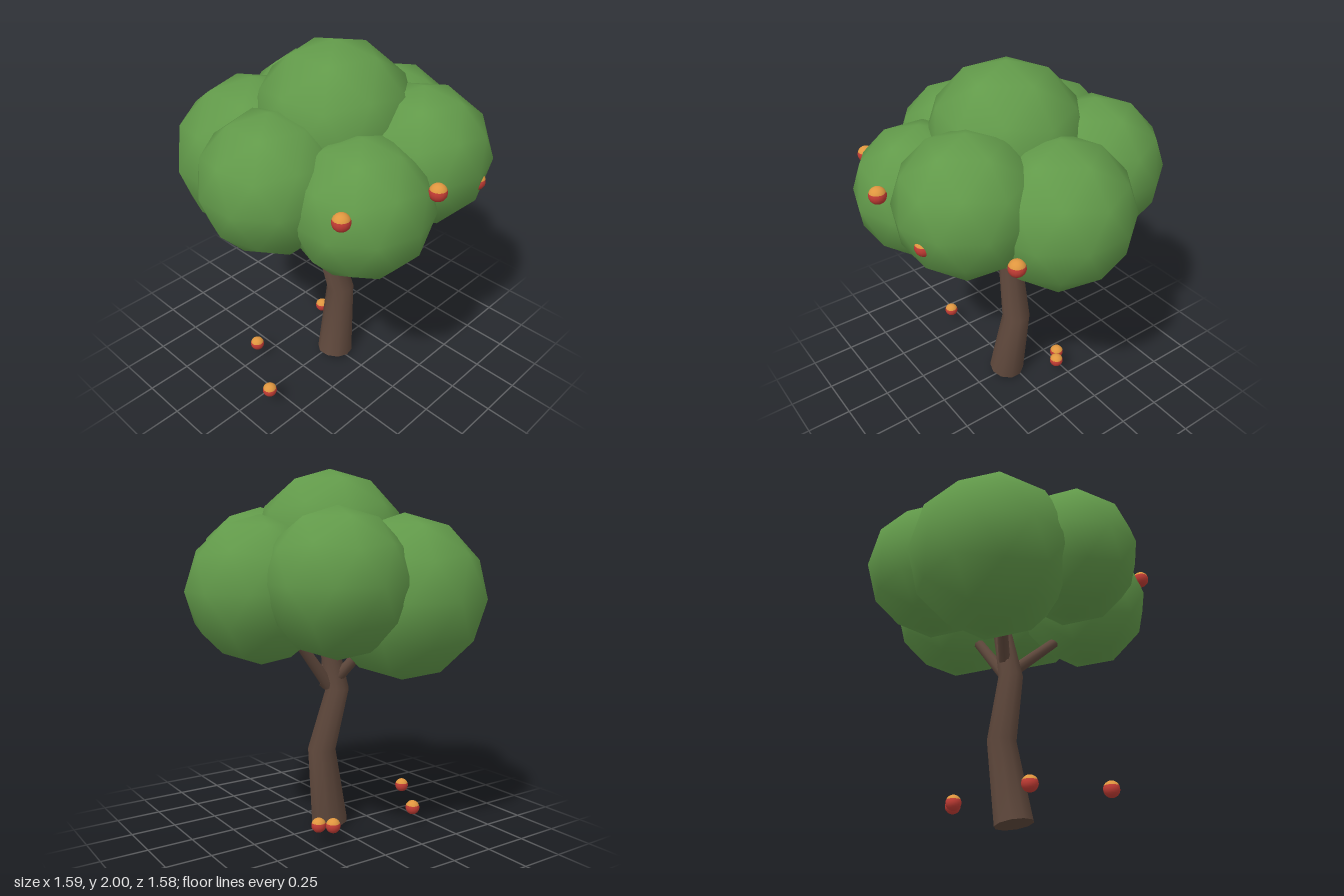
import * as THREE from 'three';
import { mergeVertices, toCreasedNormals } from 'three/addons/utils/BufferGeometryUtils.js';

const material = (name, color) => {
  const m = new THREE.MeshStandardMaterial({ color });
  m.name = name;
  return m;
};

// Tapered limb through a list of [x, y, z, radius] rings
function limbGeometry(rings, sides = 10) {
  const n = rings.length - 1;
  const geo = new THREE.CylinderGeometry(1, 1, 1, sides, n);
  const pts = rings.map(([x, y, z]) => new THREE.Vector3(x, y, z));
  const up = new THREE.Vector3(0, 1, 0);
  const turns = pts.map((p, i) => {
    const before = i > 0 ? p.clone().sub(pts[i - 1]).normalize() : new THREE.Vector3();
    const after = i < n ? pts[i + 1].clone().sub(p).normalize() : new THREE.Vector3();
    return new THREE.Quaternion().setFromUnitVectors(up, before.add(after).normalize());
  });
  const pos = geo.attributes.position;
  const v = new THREE.Vector3();
  for (let i = 0; i < pos.count; i++) {
    v.fromBufferAttribute(pos, i);
    const k = Math.round((v.y + 0.5) * n);
    v.setY(0).multiplyScalar(rings[k][3]).applyQuaternion(turns[k]).add(pts[k]);
    pos.setXYZ(i, v.x, v.y, v.z);
  }
  geo.deleteAttribute('uv');
  geo.deleteAttribute('normal');
  return toCreasedNormals(mergeVertices(geo), 1);
}

export function createModel() {
  const tree = new THREE.Group();
  tree.name = 'fruitTree';
  const bark = material('bark brown', 0x5f483c);
  const leaf = material('leaf green', 0x629a4a);
  const red = material('fruit red', 0xc23c34);
  const orange = material('fruit orange', 0xdf963f);

  const add = (parent, name, geo, mat) => {
    const mesh = new THREE.Mesh(geo, mat);
    mesh.name = name;
    parent.add(mesh);
    return mesh;
  };

  // Crooked trunk
  add(tree, 'trunk', limbGeometry([
    [-0.01, 0.016, 0.035, 0.104],
    [0.057, 0.46, 0.013, 0.08],
    [-0.033, 0.8, -0.01, 0.067],
    [0.04, 1.12, -0.01, 0.05],
  ]), bark);

  // Branches reaching into the crown
  const branches = [
    [[0.02, 0.82, 0, 0.036], [0.27, 1.14, -0.02, 0.028]],
    [[0.03, 0.82, 0.01, 0.036], [-0.16, 1.08, 0.27, 0.028]],
    [[0, 0.84, -0.02, 0.032], [-0.14, 1.1, -0.2, 0.028]],
  ];
  for (const b of branches) add(tree, 'branch', limbGeometry(b, 8), bark);

  // Leafy crown: x, y, z, radius
  const crown = new THREE.Group();
  crown.name = 'crown';
  tree.add(crown);
  const clumps = [
    [-0.01, 1.58, 0.03, 0.42],
    [0.425, 1.36, 0.03, 0.39],
    [-0.445, 1.385, 0.02, 0.37],
    [-0.225, 1.32, 0.415, 0.365],
    [0.21, 1.44, 0.415, 0.367],
    [-0.22, 1.32, -0.35, 0.44],
    [0.21, 1.405, -0.365, 0.38],
  ];
  // Turned so that one corner points straight up
  const clumpGeo = new THREE.IcosahedronGeometry(1, 1)
    .rotateZ(-Math.atan(2 / (1 + Math.sqrt(5))));
  for (const [x, y, z, r] of clumps) {
    const clump = add(crown, 'leafClump', clumpGeo, leaf);
    clump.position.set(x, y, z);
    clump.scale.setScalar(r);
  }

  // Round fruit with an orange cap: x, y, z, radius
  const capAngle = 1.18;
  const capGeo = new THREE.SphereGeometry(1, 16, 6, 0, Math.PI * 2, 0, capAngle);
  const bodyGeo = new THREE.SphereGeometry(1, 16, 8, 0, Math.PI * 2, capAngle, Math.PI - capAngle);
  const addFruit = (name, [x, y, z, r]) => {
    const fruit = new THREE.Group();
    fruit.name = name;
    add(fruit, 'fruitCap', capGeo, orange);
    add(fruit, 'fruitBody', bodyGeo, red);
    fruit.position.set(x, y, z);
    fruit.scale.setScalar(r);
    tree.add(fruit);
  };
  const hanging = [
    [-0.068, 1.467, 0.742, 0.045],
    [-0.53, 1.445, 0.575, 0.045],
    [0.57, 1.263, 0.385, 0.045],
    [0.3, 1.36, 0.71, 0.045],
  ];
  const fallen = [
    [-0.585, 0.105, 0.08, 0.04],
    [-0.385, 0.105, -0.26, 0.04],
    [0.148, 0.105, -0.235, 0.04],
    [0.208, 0.105, -0.185, 0.04],
  ];
  hanging.forEach((f) => addFruit('hangingFruit', f));
  fallen.forEach((f) => addFruit('fallenFruit', f));

  return tree;
}
